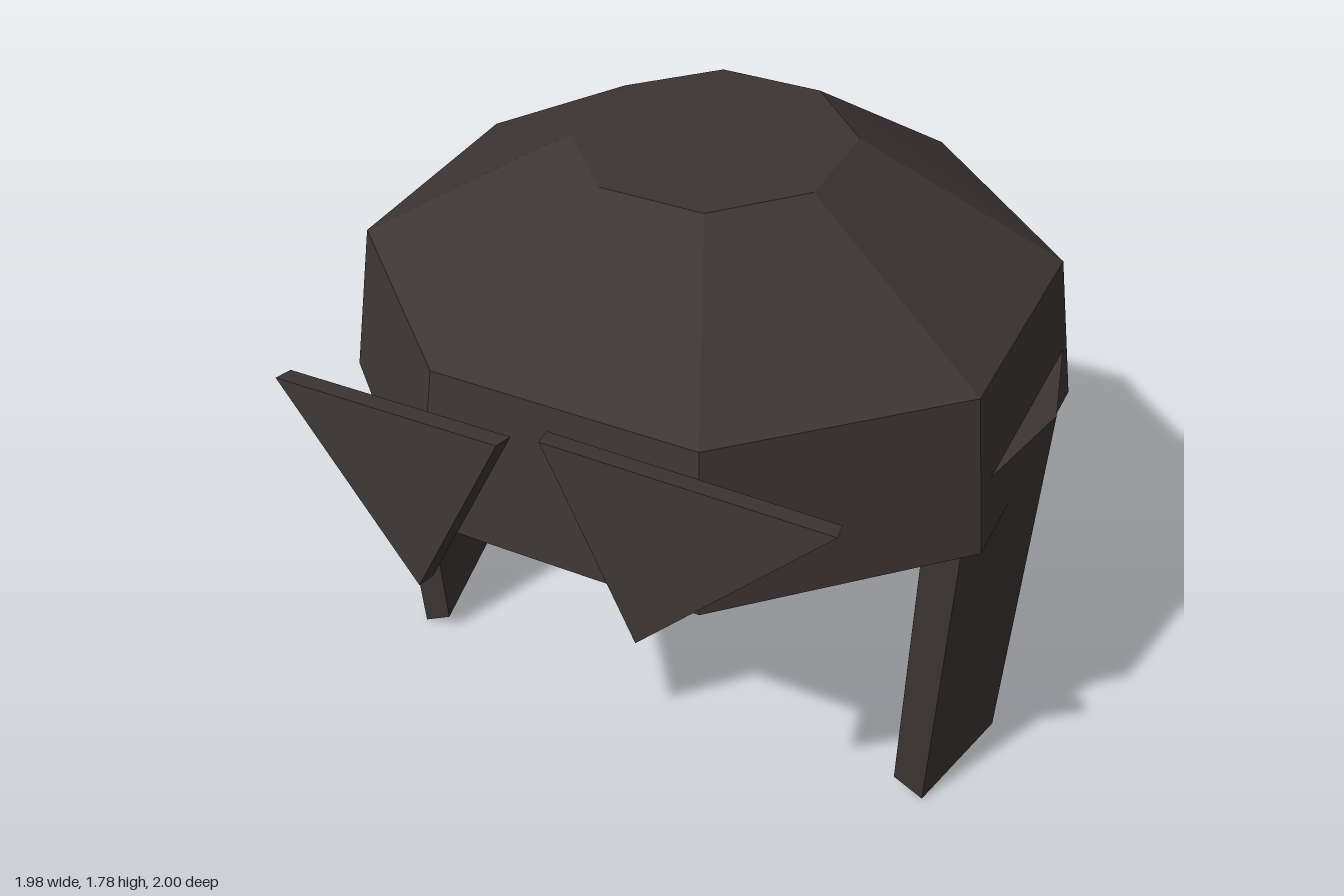
import * as THREE from 'three';

// Skin a stack of matching closed loops and cap both ends (loops run counter-clockwise seen from the last one)
function loft(loops) {
  const pos = [];
  const tri = (a, b, c) => pos.push(...a, ...b, ...c);
  const n = loops[0].length;
  for (let i = 0; i < loops.length - 1; i++) {
    const a = loops[i], b = loops[i + 1];
    for (let j = 0; j < n; j++) {
      const k = (j + 1) % n;
      tri(a[j], a[k], b[k]);
      tri(a[j], b[k], b[j]);
    }
  }
  const first = loops[0], last = loops[loops.length - 1];
  for (let j = 1; j < n - 1; j++) {
    tri(first[0], first[j + 1], first[j]);
    tri(last[0], last[j], last[j + 1]);
  }
  const geo = new THREE.BufferGeometry();
  geo.setAttribute('position', new THREE.Float32BufferAttribute(pos, 3));
  geo.computeVertexNormals();
  return geo;
}

// Irregular octagon at height y
function octagon(y, side, zFrontSide, zBackSide, xFront, zFront, xBack, zBack) {
  const right = [[xFront, zFront], [side, zFrontSide], [side, zBackSide], [xBack, zBack]];
  const left = right.map(([x, z]) => [-x, z]).reverse();
  return [...right, ...left].map(([x, z]) => [x, y, z]);
}

export function createModel() {
  const group = new THREE.Group();
  group.name = 'hair';
  const hair = new THREE.MeshStandardMaterial({ color: 0x3c3534, flatShading: true });
  hair.name = 'darkBrownHair';
  const add = (name, geo) => {
    const mesh = new THREE.Mesh(geo, hair);
    mesh.name = name;
    group.add(mesh);
  };

  // Crown: faceted cap with a flat top
  add('crown', loft([
    octagon(1.02, 0.94, 0.32, -0.44, 0.4, 0.83, 0.385, -0.92),
    octagon(1.46, 0.88, 0.28, -0.4, 0.365, 0.76, 0.365, -0.88),
    octagon(1.78, 0.345, 0.07, -0.235, 0.145, 0.28, 0.145, -0.44),
  ]));

  // Long hair: thick curtain round the sides and back, open at the front
  // Each station: outer top, outer bottom, inner top, inner bottom as x, z
  const half = [
    [0.895, 0.32, 0.85, 0.28, 0.79, 0.32, 0.76, 0.28],
    [0.99, -0.09, 0.94, -0.09, 0.885, -0.09, 0.84, -0.09],
    [0.89, -0.5, 0.845, -0.46, 0.79, -0.46, 0.755, -0.41],
    [0.62, -0.82, 0.59, -0.77, 0.55, -0.74, 0.53, -0.68],
    [0.22, -1.0, 0.21, -0.91, 0.195, -0.9, 0.19, -0.82],
  ];
  const station = (s, m) => [
    [m * s[6], 0.05, s[7]],
    [m * s[4], 1.19, s[5]],
    [m * s[0], 1.19, s[1]],
    [m * s[2], 0, s[3]],
  ];
  add('longHair', loft([
    ...half.map((s) => station(s, 1)),
    ...half.slice().reverse().map((s) => station(s, -1)),
  ]));

  // Fringe: two slanted triangular locks
  const lock = [[0.75, 1.395, 0.88], [0.045, 1.49, 0.975], [0.295, 0.978, 1.0]];
  for (const [name, m, dx, dz] of [['rightFringe', -1, 0, 0], ['leftFringe', 1, -0.01, -0.055]]) {
    const front = lock.map(([x, y, z]) => [m * x + dx, y, z + dz]);
    if (m < 0) front.reverse();
    const back = front.map(([x, y, z]) => [x - m * 0.008, y - 0.006, z - 0.05]);
    add(name, loft([back, front]));
  }
  return group;
}
